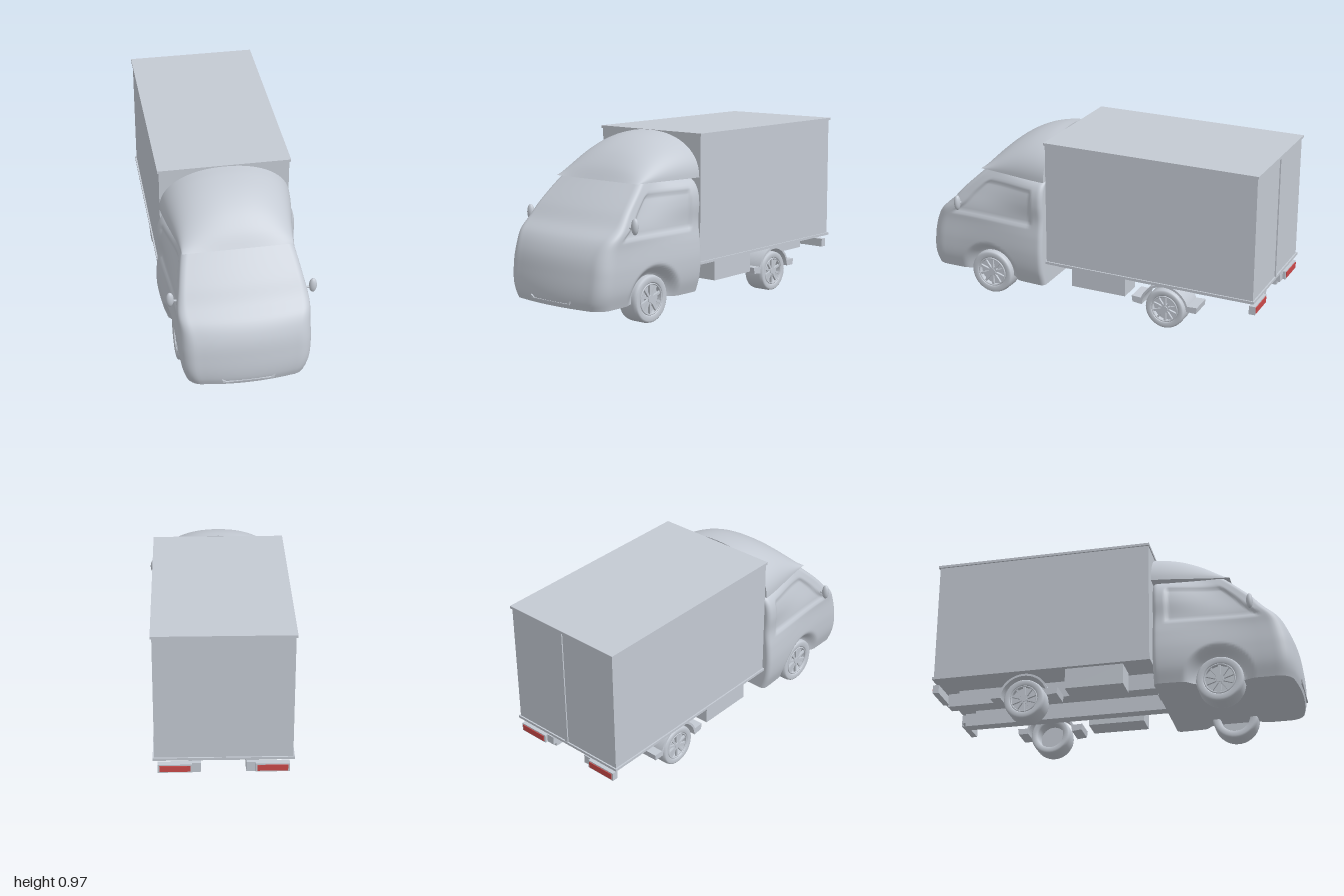
import * as THREE from 'three';

const grey = new THREE.MeshStandardMaterial({ color: 0xc4cad3, side: THREE.DoubleSide });
grey.name = 'bodyGrey';
const red = new THREE.MeshStandardMaterial({ color: 0xcc4a4a });
red.name = 'lampRed';

const smooth = THREE.MathUtils.smoothstep;
const lerp = THREE.MathUtils.lerp;

// smooth lookup through [position, value] pairs
function track(pairs) {
  const c = new THREE.CubicInterpolant(pairs.map(p => p[0]), pairs.map(p => p[1]), 1, new Float32Array(1));
  return t => c.evaluate(t)[0];
}

function mesh(parent, name, geometry, material = grey) {
  const m = new THREE.Mesh(geometry, material);
  m.name = name;
  parent.add(m);
  return m;
}

// box given by its limits
function box(parent, name, x0, x1, y0, y1, z0, z1, material) {
  const m = mesh(parent, name, new THREE.BoxGeometry(Math.abs(x1 - x0), y1 - y0, z1 - z0), material);
  m.position.set((x0 + x1) / 2, (y0 + y1) / 2, (z0 + z1) / 2);
  return m;
}

// closed skin through equal-length rings, with sharp-edged end caps
function loft(rings) {
  const n = rings[0].length, pos = rings.flat(2), idx = [];
  for (let i = 0; i < rings.length - 1; i++) {
    for (let j = 0; j < n; j++) {
      const k = (j + 1) % n, a = i * n + j, b = i * n + k, c = a + n, d = b + n;
      idx.push(a, c, b, b, c, d);
    }
  }
  for (const [ring, top] of [[rings[0], false], [rings.at(-1), true]]) {
    const s = pos.length / 3;
    const mid = [0, 1, 2].map(k => ring.reduce((t, p) => t + p[k], 0) / n);
    pos.push(...ring.flat(), ...mid);
    for (let j = 0; j < n; j++) {
      const k = (j + 1) % n;
      idx.push(s + n, s + (top ? k : j), s + (top ? j : k));
    }
  }
  const g = new THREE.BufferGeometry();
  g.setAttribute('position', new THREE.Float32BufferAttribute(pos, 3));
  g.setIndex(idx);
  g.computeVertexNormals();
  return g;
}

const FRONT_WHEEL = { z: 0.585, y: 0.13, r: 0.127 };
const REAR_WHEEL = { z: -0.48, y: 0.115, r: 0.113 };

// cab: plan sections stacked upward
function cabGeometry() {
  const noseZ = track([[0.12, 0.99], [0.16, 0.999], [0.28, 0.994], [0.395, 0.97], [0.47, 0.925], [0.53, 0.855], [0.61, 0.782], [0.735, 0.65]]);
  const rearW = track([[0.12, 0.35], [0.2, 0.375], [0.3, 0.385], [0.4, 0.38], [0.5, 0.368], [0.6, 0.375], [0.66, 0.368], [0.7, 0.35], [0.722, 0.328], [0.735, 0.3]]);
  const frontW = track([[0.12, 0.315], [0.2, 0.337], [0.3, 0.345], [0.42, 0.343], [0.5, 0.345], [0.6, 0.325], [0.7, 0.3], [0.735, 0.288]]);
  const back = 0.237, rows = 52, rings = [];
  for (let i = 0; i <= rows; i++) {
    const y = lerp(0.12, 0.735, i / rows), zf = noseZ(y);
    const r = lerp(0.085, 0.035, smooth(y, 0.35, 0.6)), rb = 0.025;
    const side = z => {
      const t = Math.max(0, (z - back) / (zf - back));
      let x = lerp(rearW(y), frontW(y), smooth(t, 0, 0.75));
      // side window recess
      x -= 0.012 * smooth(y, 0.46, 0.485) * (1 - smooth(y, 0.66, 0.685)) * smooth(z, 0.3, 0.325) * (1 - smooth(z, zf - 0.13, zf - 0.1));
      // wheel arch hollow
      const d = Math.hypot(z - FRONT_WHEEL.z, y - FRONT_WHEEL.y);
      return lerp(Math.min(x, 0.295), x, smooth(d, 0.122, 0.19));
    };
    const half = [];
    const wb = side(back + rb), wf = side(zf - r - 0.02);
    for (let k = 0; k < 4; k++) half.push([(wb - rb) * k / 4, back]);
    for (let k = 0; k < 5; k++) {
      const a = k / 5 * Math.PI / 2;
      half.push([wb - rb + rb * Math.sin(a), back + rb - rb * Math.cos(a)]);
    }
    for (let k = 0; k < 48; k++) {
      const z = lerp(back + rb, zf - r - 0.02, k / 48);
      half.push([side(z), z]);
    }
    for (let k = 0; k < 8; k++) {
      const a = k / 8 * Math.PI / 2;
      half.push([wf - r + r * Math.cos(a), zf - r - 0.02 + r * Math.sin(a)]);
    }
    for (let k = 0; k <= 8; k++) {
      const u = 1 - k / 8;
      half.push([(wf - r) * u, zf - 0.02 * u * u]);
    }
    const other = half.slice(1, -1).reverse().map(([x, z]) => [-x, z]);
    rings.push([...half, ...other].map(([x, z]) => [x, y, z]));
  }
  return loft(rings);
}

// roof fairing: arched sections growing toward the cargo box
function fairingGeometry() {
  const height = track([[0.23, 0.232], [0.3, 0.226], [0.4, 0.2], [0.5, 0.15], [0.56, 0.105], [0.61, 0.056], [0.652, 0]]);
  const rings = [], steps = 24, arc = 40;
  for (let i = 0; i <= steps; i++) {
    const t = i / steps, z = lerp(0.652, 0.23, t), h = Math.max(0, height(z));
    const w = lerp(0.292, 0.355, smooth(t, 0, 1) * 0.5 + t * 0.5), ring = [];
    for (let k = 0; k <= arc; k++) {
      const a = k / arc * Math.PI, c = Math.cos(a);
      ring.push([w * Math.sign(c) * Math.abs(c) ** 0.92, 0.735 + h * Math.max(0, Math.sin(a)) ** 0.92, z]);
    }
    ring.push([...ring[arc]], [...ring[0]]);
    rings.push(ring);
  }
  return loft(rings);
}

// wheel with its outer face toward local +y
function makeWheel(name, r, width) {
  const g = new THREE.Group(), h = width / 2;
  g.name = name;
  const profile = [[0.66, -0.8], [0.7, -0.95], [0.9, -1], [0.97, -0.9], [1, -0.65], [1, 0.65], [0.97, 0.9], [0.9, 1], [0.72, 0.97], [0.69, 0.9], [0.66, 0.8], [0.64, 0.4], [0.64, -0.4], [0.66, -0.8]];
  mesh(g, 'tire', new THREE.LatheGeometry(profile.map(([a, b]) => new THREE.Vector2(a * r, b * h)), 40));
  mesh(g, 'rimDisc', new THREE.CylinderGeometry(r * 0.65, r * 0.65, 0.006, 32)).position.y = h * 0.4;
  const ring = mesh(g, 'rimRing', new THREE.TorusGeometry(r * 0.64, r * 0.035, 8, 40));
  ring.rotation.x = Math.PI / 2;
  ring.position.y = h * 0.88;
  mesh(g, 'hub', new THREE.CylinderGeometry(r * 0.15, r * 0.19, h * 0.5, 20)).position.y = h * 0.65;
  for (let i = 0; i < 10; i++) {
    const spoke = new THREE.BoxGeometry(r * 0.5, h * 0.2, r * 0.1);
    spoke.translate(r * 0.39, h * 0.75, 0);
    spoke.rotateY(i / 10 * Math.PI * 2);
    mesh(g, 'spoke', spoke);
  }
  return g;
}

// mudguard: arched band with a flat tab at each end
function mudguardGeometry() {
  const s = new THREE.Shape(), a = 0.32;
  s.absarc(0, 0, 0.142, a, Math.PI - a, false);
  s.lineTo(-0.19, 0.047);
  s.lineTo(-0.185, 0.012);
  s.lineTo(-0.13, 0.006);
  s.absarc(0, 0, 0.13, Math.PI - 0.1, 0.1, true);
  s.lineTo(0.185, 0.012);
  s.lineTo(0.19, 0.047);
  s.closePath();
  const g = new THREE.ExtrudeGeometry(s, { depth: 0.13, bevelEnabled: false, curveSegments: 24 });
  return g.rotateY(Math.PI / 2);
}

export function createModel() {
  const truck = new THREE.Group();
  truck.name = 'boxTruck';

  mesh(truck, 'cab', cabGeometry());
  mesh(truck, 'roofFairing', fairingGeometry());

  // lower bumper lip
  const lip = new THREE.Shape([[-0.14, 0.162], [-0.135, 0.142], [0.135, 0.142], [0.14, 0.162], [0.118, 0.146], [-0.118, 0.146]].map(p => new THREE.Vector2(...p)));
  mesh(truck, 'bumperLip', new THREE.ExtrudeGeometry(lip, { depth: 0.008, bevelEnabled: false })).position.z = 0.992;

  // cargo box with roof and floor trims
  box(truck, 'cargoBox', -0.352, 0.352, 0.265, 0.96, -0.988, 0.217);
  box(truck, 'cargoRoof', -0.36, 0.36, 0.953, 0.967, -0.996, 0.222);
  box(truck, 'cargoFloor', -0.36, 0.36, 0.262, 0.276, -0.996, 0.222);
  box(truck, 'doorStrip', -0.01, 0.01, 0.276, 0.953, -0.995, -0.987);

  // chassis
  box(truck, 'crossMember', -0.04, 0.04, 0.19, 0.24, 0.2, 0.24);
  for (const s of [-1, 1]) {
    box(truck, 'chassisRail', s * 0.115, s * 0.18, 0.17, 0.245, -0.96, 0.25);
    box(truck, 'railSpacer', s * 0.12, s * 0.175, 0.245, 0.265, -0.9, 0.2);
    box(truck, 'sideLocker', s * 0.2, s * 0.335, 0.148, 0.265, -0.25, 0.07);
    box(truck, 'lampHousing', s * 0.16, s * 0.336, 0.19, 0.237, -0.996, -0.962);
    box(truck, 'lampBracket', s * 0.115, s * 0.17, 0.19, 0.237, -0.98, -0.95);
    box(truck, 'tailLamp', s * 0.17, s * 0.327, 0.197, 0.23, -1, -0.995, red);

    // wheels
    for (const [name, w] of [['frontWheel', FRONT_WHEEL], ['rearWheel', REAR_WHEEL]]) {
      const wheel = makeWheel(name, w.r, 0.125);
      wheel.position.set(s * 0.268, w.y, w.z);
      wheel.rotation.z = -s * Math.PI / 2;
      truck.add(wheel);
    }
    const guard = mesh(truck, 'mudguard', mudguardGeometry());
    guard.position.set(s * 0.268 - 0.065, REAR_WHEEL.y, REAR_WHEEL.z);

    // mirrors
    const mirror = mesh(truck, 'mirror', new THREE.SphereGeometry(1, 24, 16));
    mirror.scale.set(0.021, 0.043, 0.018);
    mirror.position.set(s * 0.375, 0.54, 0.765);
    const stalk = mesh(truck, 'mirrorStalk', new THREE.CylinderGeometry(0.006, 0.006, 0.05, 10));
    stalk.rotation.z = Math.PI / 2;
    stalk.position.set(s * 0.345, 0.53, 0.765);
  }
  return truck;
}
